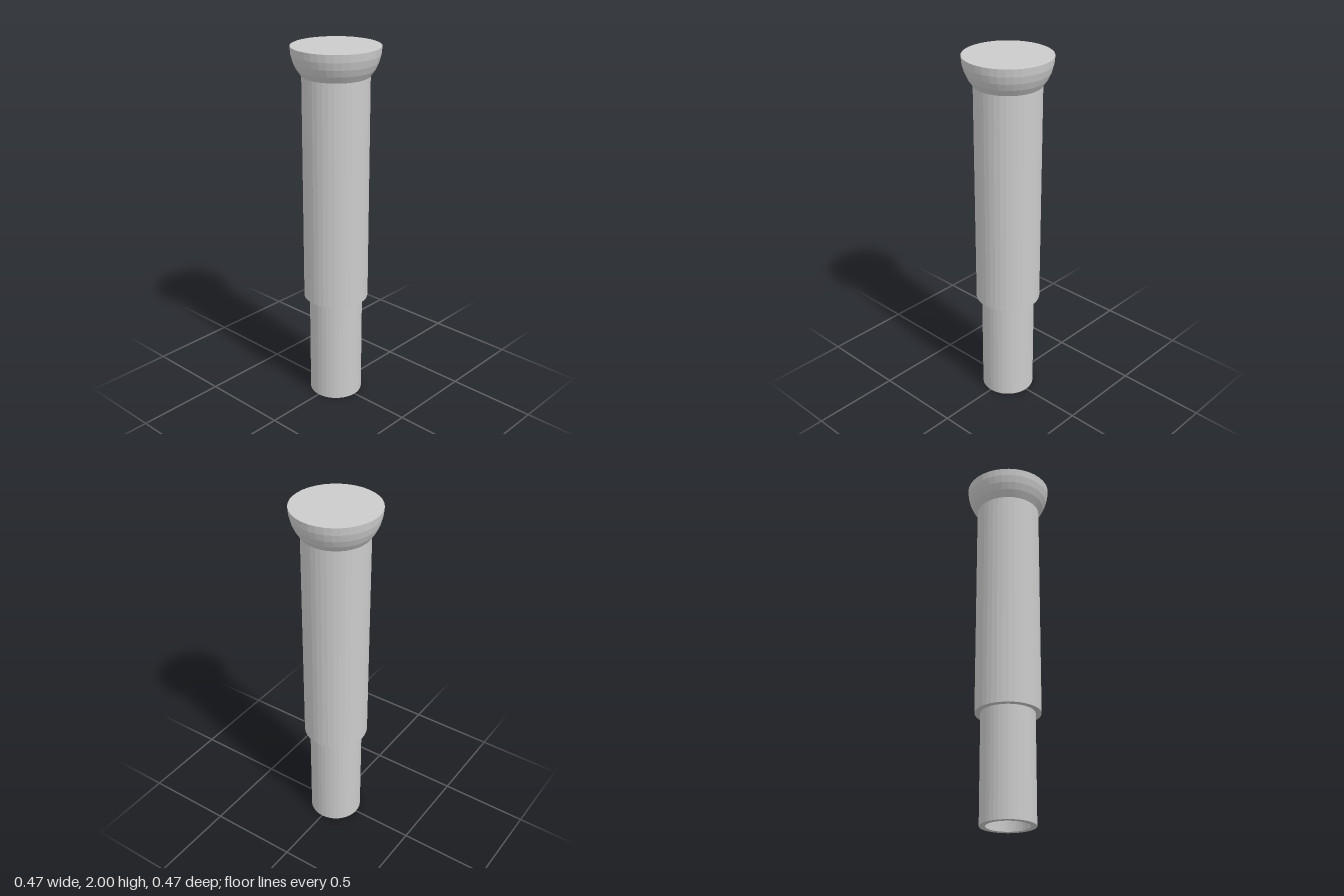
import * as THREE from 'three';

const SIDES = 36;
const material = new THREE.MeshStandardMaterial({ color: 0xcccccc, flatShading: true });

function lathe(name, profile) {
  const points = profile.map(([r, y]) => new THREE.Vector2(r, y));
  const mesh = new THREE.Mesh(new THREE.LatheGeometry(points, SIDES), material);
  mesh.name = name;
  return mesh;
}

// Hollow cylinder with flat end rings
function pipe(name, outer, inner, bottom, top) {
  return lathe(name, [[outer, bottom], [outer, top], [inner, top], [inner, bottom], [outer, bottom]]);
}

export function createModel() {
  const group = new THREE.Group();
  group.name = 'telescopicPost';

  // Narrow inner tube, open at the foot, running up inside the sleeve
  group.add(pipe('innerTube', 0.147, 0.116, 0, 1.81));

  // Wider outer sleeve
  group.add(pipe('outerSleeve', 0.178, 0.147, 0.6, 1.855));

  // Half-ball head, flat side up, seated in the sleeve
  const radius = 0.235;
  const profile = [];
  for (let i = 0; i <= 9; i++) {
    const a = (i / 9) * Math.PI / 2;
    profile.push([radius * Math.sin(a), 2 - radius * Math.cos(a)]);
  }
  profile.push([0, 2]);
  group.add(lathe('domedHead', profile));

  return group;
}
